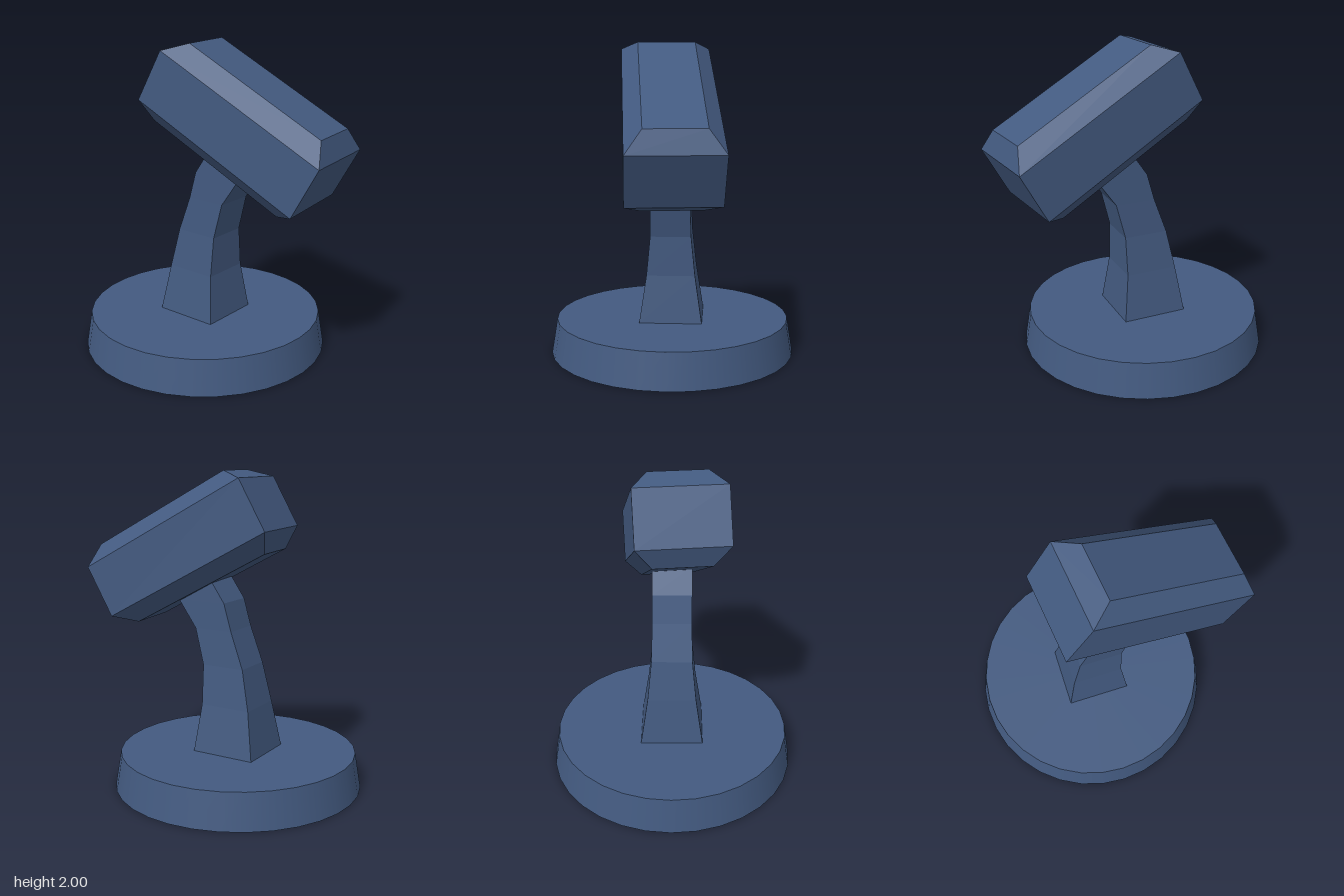
import * as THREE from 'three';

// Flat-shaded loft through rectangular sections [centreX, y, halfWidthX, halfDepthZ], bottom to top
function loftRects(sections) {
  const positions = [];
  const index = [];
  for (const [cx, y, hx, hz] of sections) {
    positions.push(cx - hx, y, hz, cx + hx, y, hz, cx + hx, y, -hz, cx - hx, y, -hz);
  }
  for (let s = 0; s < sections.length - 1; s++) {
    for (let i = 0; i < 4; i++) {
      const a = s * 4 + i;
      const b = s * 4 + (i + 1) % 4;
      index.push(a, b, b + 4, a, b + 4, a + 4);
    }
  }
  const t = (sections.length - 1) * 4;
  index.push(0, 2, 1, 0, 3, 2, t, t + 1, t + 2, t, t + 2, t + 3); // end caps
  const indexed = new THREE.BufferGeometry();
  indexed.setAttribute('position', new THREE.Float32BufferAttribute(positions, 3));
  indexed.setIndex(index);
  const geometry = indexed.toNonIndexed();
  geometry.computeVertexNormals();
  return geometry;
}

export function createModel() {
  const model = new THREE.Group();
  model.name = 'deskLamp';

  const blue = new THREE.MeshStandardMaterial({ color: 0x435a80 });
  blue.name = 'slate blue';

  const add = (name, geometry) => {
    const mesh = new THREE.Mesh(geometry, blue);
    mesh.name = name;
    model.add(mesh);
    return mesh;
  };

  // Round, slightly tapered foot
  const base = add('base', new THREE.CylinderGeometry(0.755, 0.793, 0.226, 32));
  base.position.set(-0.095, 0.113, 0);

  // Curved square neck, running up into the head
  add('neck', loftRects([
    [-0.095, 0.2, 0.213, 0.203],
    [-0.095, 0.226, 0.21, 0.2],
    [-0.0875, 0.53, 0.1675, 0.155],
    [-0.0575, 0.785, 0.1425, 0.13],
    [0.015, 1.015, 0.13, 0.125],
    [0.103, 1.19, 0.167, 0.125],
    [0.2, 1.34, 0.16, 0.125],
  ]));

  // Tilted block head with chamfered top and bottom
  const head = add('head', loftRects([
    [0, -0.28, 0.496, 0.18],
    [0, -0.176, 0.6, 0.282],
    [0, 0.176, 0.6, 0.282],
    [0, 0.28, 0.496, 0.18],
  ]));
  head.position.set(0.2475, 1.517, -0.0025);
  head.rotation.set(0, 0.12, -0.5, 'YZX');

  return model;
}
